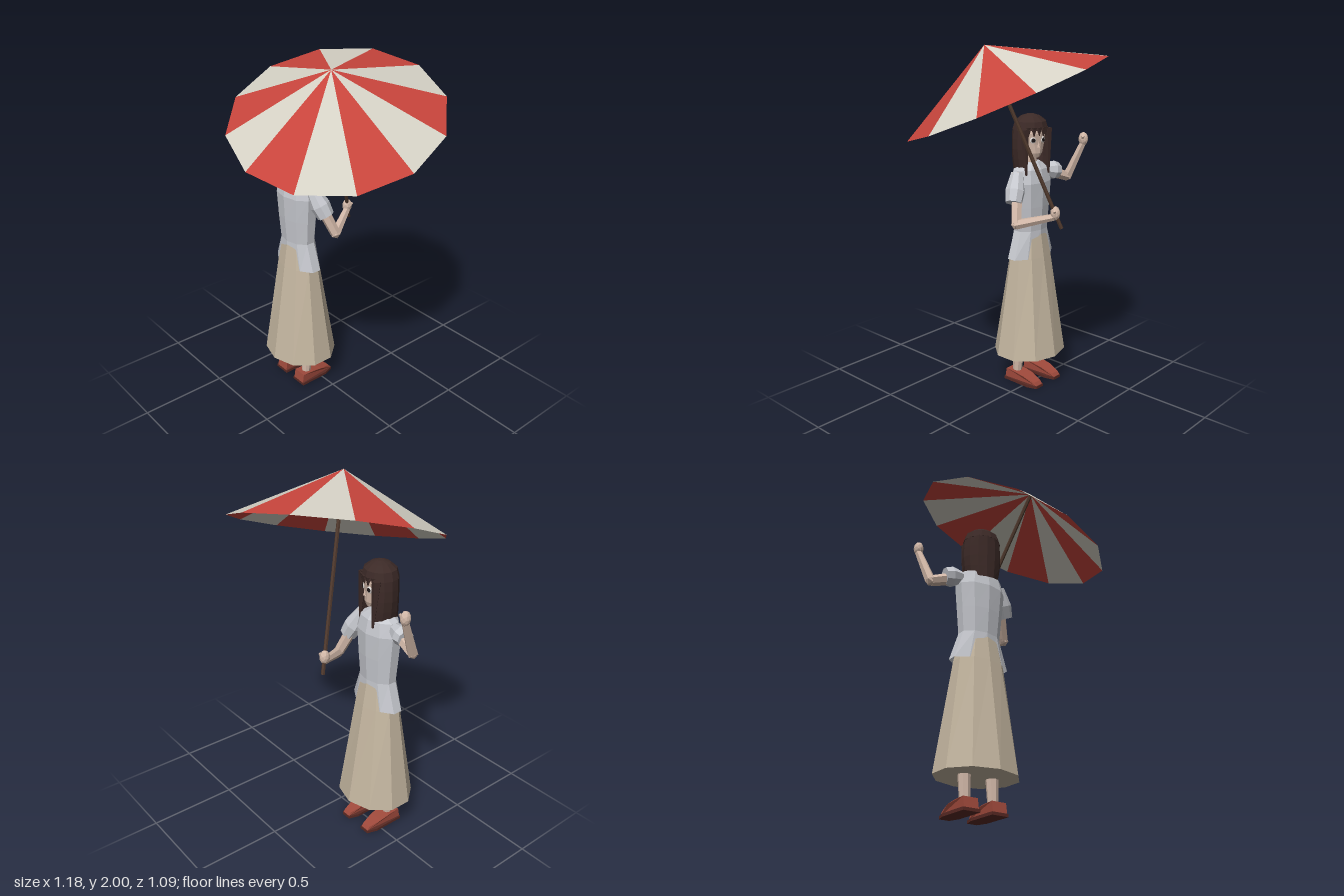
import * as THREE from 'three';

const V = (x, y, z) => new THREE.Vector3(x, y, z);
const mat = (color) => new THREE.MeshStandardMaterial({ color, flatShading: true, side: THREE.DoubleSide });

const CX = -0.238, CZ = 0.06; // body axis

// Elliptical cross-sections [y, rx, rz, cx, cz], bottom to top
function loft(rings, n, phase = 0, capBottom = true, capTop = true) {
  const pos = [], idx = [];
  for (const [y, rx, rz, cx = 0, cz = 0] of rings) {
    for (let i = 0; i < n; i++) {
      const a = phase + (i / n) * Math.PI * 2;
      pos.push(cx + rx * Math.cos(a), y, cz + rz * Math.sin(a));
    }
  }
  const last = (rings.length - 1) * n;
  for (let r = 0; r < last; r += n) {
    for (let i = 0; i < n; i++) {
      const j = (i + 1) % n;
      idx.push(r + i, r + n + i, r + j, r + j, r + n + i, r + n + j);
    }
  }
  for (let i = 1; i < n - 1; i++) {
    if (capBottom) idx.push(0, i, i + 1);
    if (capTop) idx.push(last, last + i + 1, last + i);
  }
  const g = new THREE.BufferGeometry();
  g.setAttribute('position', new THREE.Float32BufferAttribute(pos, 3));
  g.setIndex(idx);
  const flat = g.toNonIndexed();
  flat.computeVertexNormals();
  return flat;
}

// Tapered rod from a to b
function rod(a, b, ra, rb, sides = 6) {
  const g = new THREE.CylinderGeometry(rb, ra, a.distanceTo(b), sides);
  g.applyQuaternion(new THREE.Quaternion().setFromUnitVectors(V(0, 1, 0), b.clone().sub(a).normalize()));
  const m = a.clone().add(b).multiplyScalar(0.5);
  return g.translate(m.x, m.y, m.z);
}

export function createModel() {
  const model = new THREE.Group();
  const skin = mat(0xd2b8a8), hairMat = mat(0x3c2a27), shirtMat = mat(0xc6c8ce), skirtMat = mat(0xc4b6a0);
  const red = mat(0xc8453c), cream = mat(0xd6d2c6), wood = mat(0x4e382c), shoeMat = mat(0xa04a3c);
  const soleMat = mat(0x5a2a24), white = mat(0xe4e0dc), dark = mat(0x1c1616);

  const add = (name, geometry, material, parent = model) => {
    const m = new THREE.Mesh(geometry, material);
    m.name = name;
    parent.add(m);
    return m;
  };

  // Parasol: twelve alternating panels on a tilted rim
  const apex = V(0.1, 2, 0.095), rimCentre = V(0.03, 1.73, 0);
  const u = V(0.56, -0.14, 0), v = V(-0.042, -0.175, 0.546);
  const rim = (k) => rimCentre.clone()
    .addScaledVector(u, Math.cos((k * Math.PI) / 6))
    .addScaledVector(v, Math.sin((k * Math.PI) / 6));
  const parasol = new THREE.Group();
  parasol.name = 'parasol';
  model.add(parasol);
  for (let k = 0; k < 12; k++) {
    const g = new THREE.BufferGeometry().setFromPoints([apex, rim(k + 1), rim(k)]);
    g.computeVertexNormals();
    add('canopyPanel', g, k % 2 ? cream : red, parasol);
  }
  add('parasolPole', rod(V(-0.145, 1.02, -0.245), V(0.098, 1.99, 0.093), 0.011, 0.011), wood, parasol);

  // Skirt and blouse
  const phase = Math.PI / 10;
  const body = (rows) => rows.map(([y, rx, rz]) => [y, rx, rz, CX, CZ]);
  add('skirt', loft(body([[0.19, 0.229, 0.2], [0.79, 0.144, 0.104], [0.95, 0.105, 0.077]]), 10, phase), skirtMat);
  add('blouse', loft(body([
    [0.79, 0.175, 0.086], [0.95, 0.121, 0.08], [1.09, 0.134, 0.089],
    [1.23, 0.148, 0.094], [1.305, 0.128, 0.078], [1.345, 0.055, 0.05],
  ]), 10, phase, false), shirtMat);

  // Legs and shoes
  const shoeSide = new THREE.Shape([
    [-0.145, 0.014], [-0.135, 0.07], [-0.06, 0.066], [0.0, 0.055], [0.075, 0.035], [0.09, 0.014],
  ].map(([s, y]) => new THREE.Vector2(s, y)));
  const taper = (g) => {
    const p = g.attributes.position;
    for (let i = 0; i < p.count; i++) if (p.getZ(i) < -0.06) p.setX(i, p.getX(i) * 0.6);
    g.computeVertexNormals();
    return g;
  };
  for (const s of [-1, 1]) {
    const leg = new THREE.Group();
    leg.name = s < 0 ? 'rightLeg' : 'leftLeg';
    leg.position.x = CX + s * 0.083;
    model.add(leg);
    add('shin', rod(V(0, 0.05, 0.085), V(0, 0.4, 0.06), 0.027, 0.042, 8), skin, leg);
    const upper = new THREE.ExtrudeGeometry(shoeSide, { depth: 0.084, bevelEnabled: false });
    add('shoe', taper(upper.translate(0, 0, -0.042).rotateY(Math.PI / 2)), shoeMat, leg);
    const sole = new THREE.BoxGeometry(0.098, 0.016, 0.24, 1, 1, 4).translate(0, 0.008, 0.027);
    add('sole', taper(sole), soleMat, leg);
  }

  // Arms: shoulder, cuff, elbow, hand
  const arms = [
    ['left', V(-0.115, 1.29, 0.055), V(-0.04, 1.14, 0.015), V(-0.012, 1.03, -0.03), V(-0.125, 1.085, -0.215)],
    ['right', V(-0.36, 1.275, 0.06), V(-0.455, 1.26, 0.045), V(-0.53, 1.215, 0.025), V(-0.562, 1.425, -0.065)],
  ];
  for (const [side, shoulder, cuff, elbow, hand] of arms) {
    const arm = new THREE.Group();
    arm.name = side + 'Arm';
    model.add(arm);
    const mid = shoulder.clone().lerp(cuff, 0.6);
    add('sleeveTop', rod(shoulder, mid, 0.036, 0.056, 8), shirtMat, arm);
    add('sleeveCuff', rod(mid, cuff, 0.056, 0.048, 8), shirtMat, arm);
    add('upperArm', rod(shoulder, elbow, 0.036, 0.029), skin, arm);
    add('elbow', new THREE.IcosahedronGeometry(0.03).translate(elbow.x, elbow.y, elbow.z), skin, arm);
    add('forearm', rod(elbow, hand, 0.029, 0.02), skin, arm);
    const fist = new THREE.IcosahedronGeometry(0.031, 1).scale(0.85, 1.3, 0.95);
    add('hand', fist.translate(hand.x, hand.y + 0.02, hand.z), skin, arm);
    add('thumb', rod(V(hand.x, hand.y, hand.z), V(hand.x + 0.025, hand.y + 0.04, hand.z - 0.015), 0.012, 0.008, 5), skin, arm);
  }

  // Head, turned slightly to its left
  const head = new THREE.Group();
  head.name = 'head';
  head.position.set(CX + 0.004, 0, CZ + 0.003);
  head.rotation.y = -0.26;
  model.add(head);
  add('neck', new THREE.CylinderGeometry(0.034, 0.042, 0.14, 8).translate(0, 1.36, 0), skin, head);
  add('face', loft([
    [1.375, 0.025, 0.022, 0, -0.05], [1.4, 0.055, 0.062, 0, -0.02], [1.45, 0.078, 0.082],
    [1.51, 0.084, 0.087], [1.57, 0.07, 0.07],
  ], 12, phase), skin, head);
  add('nose', new THREE.ConeGeometry(0.011, 0.035, 4).translate(0, 1.452, -0.085), skin, head);
  add('mouth', new THREE.BoxGeometry(0.03, 0.006, 0.008).translate(0, 1.415, -0.074), soleMat, head);
  for (const s of [-1, 1]) {
    const eye = (name, r, z, m) => add(name, new THREE.SphereGeometry(r, 10, 6).scale(1, 1, 0.35).rotateY(-s * 0.35)
      .translate(s * 0.034, 1.475, z), m, head);
    eye('eyeWhite', 0.018, -0.076, white);
    eye('iris', 0.012, -0.081, dark);
  }

  // Hair: crown, curtain open at the face, front locks and fringe
  add('hairCrown', loft([
    [1.53, 0.106, 0.098], [1.575, 0.092, 0.086], [1.603, 0.055, 0.052], [1.615, 0.018, 0.018],
  ], 12, phase), hairMat, head);
  const curtain = new THREE.CylinderGeometry(1, 1, 1, 10, 4, true, -Math.PI * 0.74, Math.PI * 1.48);
  const p = curtain.attributes.position;
  for (let i = 0; i < p.count; i++) {
    const t = 0.5 - p.getY(i), back = Math.max(0, p.getZ(i));
    const w = 0.103 + 0.008 * Math.sin(t * Math.PI) - 0.01 * t * t;
    p.setXYZ(i, p.getX(i) * w, 1.535 - t * (0.225 + 0.035 * back), p.getZ(i) * 0.097);
  }
  curtain.computeVertexNormals();
  add('hairCurtain', curtain, hairMat, head);
  for (const s of [-1, 1]) {
    add('frontLock', rod(V(s * 0.076, 1.28, -0.075), V(s * 0.078, 1.535, -0.058), 0.006, 0.026, 5), hairMat, head);
  }
  for (let i = -2; i <= 2; i++) {
    const a = i * 0.36;
    const at = (y, r) => V(Math.sin(a) * r, y, -Math.cos(a) * r);
    add('fringe', rod(at(1.5 - 0.004 * Math.abs(i), 0.09), at(1.545, 0.086), 0.002, 0.018, 5), hairMat, head);
  }
  return model;
}
